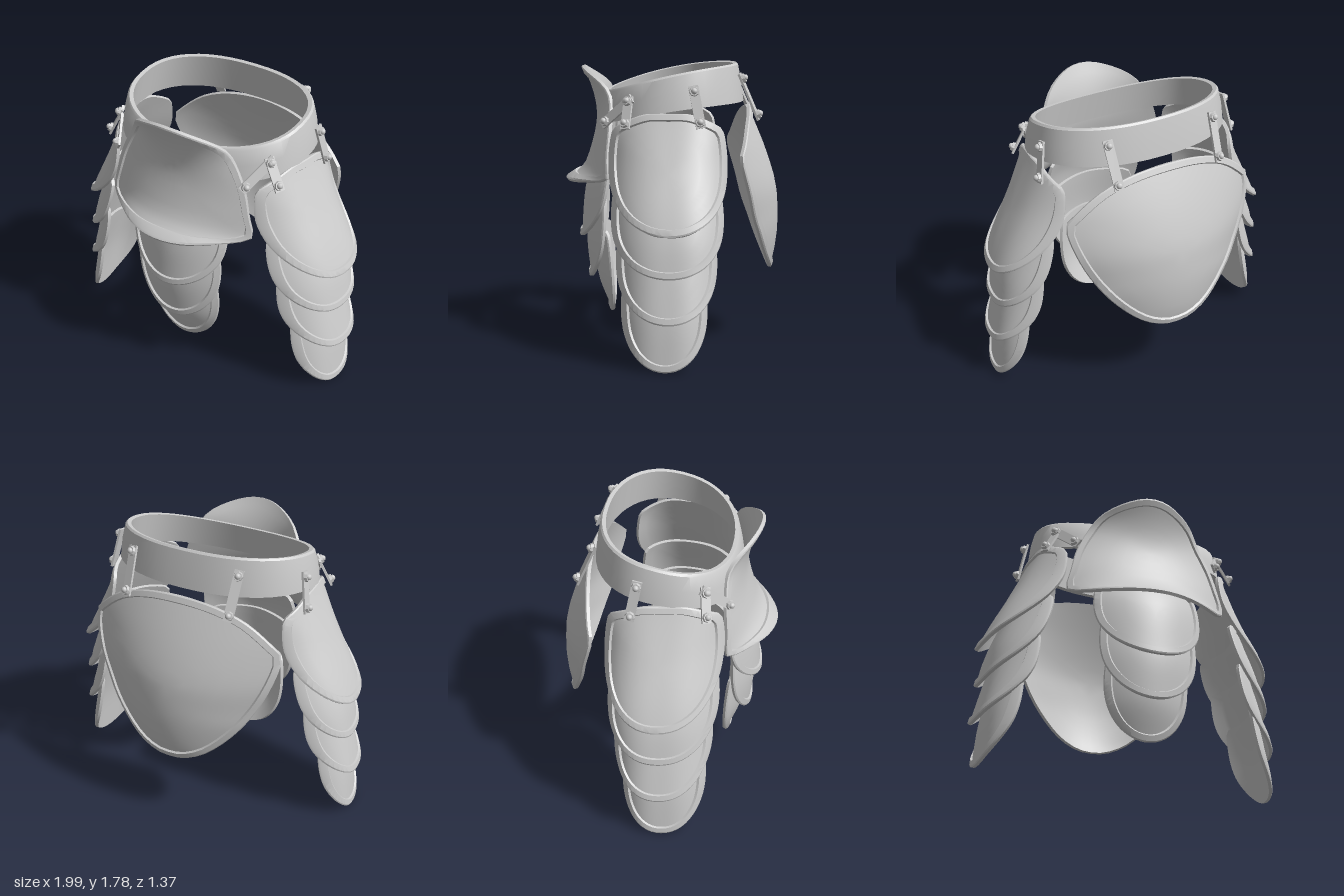
import * as THREE from 'three';
import { toCreasedNormals } from 'three/addons/utils/BufferGeometryUtils.js';

const material = new THREE.MeshStandardMaterial({ color: 0xcccccc, side: THREE.DoubleSide });
const V = (x, y, z) => new THREE.Vector3(x, y, z);
const UP = V(0, 1, 0);

// Skin a list of equal-length closed rings; closed = join the last ring to the first
function skin(rings, closed = false, crease = 0.5) {
  const n = rings[0].length, pos = [];
  const tri = (a, b, c) => {
    if (a.distanceTo(b) < 1e-6 || b.distanceTo(c) < 1e-6 || a.distanceTo(c) < 1e-6) return;
    pos.push(a.x, a.y, a.z, b.x, b.y, b.z, c.x, c.y, c.z);
  };
  const count = closed ? rings.length : rings.length - 1;
  for (let j = 0; j < count; j++) {
    const A = rings[j], B = rings[(j + 1) % rings.length];
    for (let i = 0; i < n; i++) {
      const k = (i + 1) % n;
      tri(A[i], A[k], B[k]);
      tri(A[i], B[k], B[i]);
    }
  }
  const g = new THREE.BufferGeometry();
  g.setAttribute('position', new THREE.Float32BufferAttribute(pos, 3));
  return toCreasedNormals(g, crease);
}

function named(name, geometry) {
  const m = new THREE.Mesh(geometry, material);
  m.name = name;
  return m;
}

// Bowed plate with a raised rim.
// half: half outline [across, y] from top centre to bottom centre
// rows: [y, depth at the middle, drop at the edge], y ascending
function plate(name, out, half, rows, { power = 2, shift = 0, skew = 0 } = {}) {
  const across = UP.clone().cross(out);
  const hw = Math.max(...half.map(p => p[0]));
  const ys = rows.map(r => r[0]);
  const spline = c => {
    const f = new THREE.CubicInterpolant(ys, rows.map(r => r[c]), 1, new Float32Array(1));
    return y => f.evaluate(THREE.MathUtils.clamp(y, ys[0], ys[ys.length - 1] - 1e-5))[0];
  };
  const mid = spline(1), drop = spline(2);
  const depth = (a, y) => mid(y) - drop(y) * Math.pow(Math.abs(a) / hw, power) - skew * a;
  const place = (a, y, lift) => {
    const e = 0.004, d = depth(a, y);
    const n = V(-(depth(a + e, y) - depth(a - e, y)) / (2 * e),
      -(depth(a, y + e) - depth(a, y - e)) / (2 * e), 1).normalize().multiplyScalar(lift);
    return across.clone().multiplyScalar(a + n.x + shift)
      .addScaledVector(UP, y + n.y).addScaledVector(out, d + n.z);
  };

  const mirrored = half.slice(1, -1).reverse().map(([a, y]) => [-a, y]);
  const loop = [...half, ...mirrored].map(([a, y]) => V(a, y, 0));
  const outline = new THREE.CatmullRomCurve3(loop, true).getSpacedPoints(56).slice(0, -1);
  const cy = (half[0][1] + half[half.length - 1][1]) / 2;
  const ring = (scale, inset, lift) => outline.map(p => {
    const r = Math.hypot(p.x, p.y - cy), s = scale * (1 - inset / r);
    return place(p.x * s, cy + (p.y - cy) * s, lift);
  });
  const back = -0.012, rim = 0.013, steps = [0, 0.2, 0.4, 0.6, 0.8, 0.93];
  return named(name, skin([
    ...steps.map(s => ring(s, 0.045, back)), ring(1, 0.045, back), ring(1, 0, back),
    ring(1, 0, rim * 0.6), ring(1, 0.008, rim), ring(1, 0.04, rim), ring(1, 0.045, 0),
    ...steps.slice().reverse().map(s => ring(s, 0.045, 0)),
  ].reverse().map(r => r.slice().reverse())));
}

// Leaf outline: nearly flat head, straight flanks, rounded tip
function leaf(top, bottom, hw, arch, p) {
  const h = top - bottom, pts = [[0, top], [hw * 0.4, top - 0.01 * h]];
  pts.push([hw * 0.88, top - arch * h], [hw * 0.93, top - (arch + 0.03) * h], [hw, top - 0.38 * h]);
  for (const s of [0.3, 0.5, 0.68, 0.83, 0.94, 0.985])
    pts.push([hw * Math.sqrt(1 - s ** p), top - (0.4 + 0.6 * s) * h]);
  pts.push([0, bottom]);
  return pts;
}

// Flat strap from a to b facing out, with a hexagonal washer and dome rivet at each end
function strap(name, a, b, out) {
  const g = new THREE.Group();
  g.name = name;
  const y = b.clone().sub(a), len = y.length();
  y.normalize();
  const z = out.clone().addScaledVector(y, -out.dot(y)).normalize();
  g.applyMatrix4(new THREE.Matrix4().makeBasis(y.clone().cross(z), y, z));
  g.position.copy(a).add(b).multiplyScalar(0.5).addScaledVector(z, 0.012);
  g.add(named('strapBand', new THREE.BoxGeometry(0.06, len + 0.07, 0.014)));
  for (const end of [-1, 1]) {
    const washer = named('rivetWasher', toCreasedNormals(
      new THREE.CylinderGeometry(0.027, 0.031, 0.02, 8).rotateX(Math.PI / 2), 0.5));
    const dome = named('rivetDome', new THREE.SphereGeometry(0.019, 10, 6));
    washer.position.set(0, end * len / 2, 0.014);
    dome.position.set(0, end * len / 2, 0.024);
    g.add(washer, dome);
  }
  return g;
}

// Tilted oval waistband, flaring toward its lower edge
function belt() {
  const ring = (rx, rz, height) => Array.from({ length: 48 }, (_, i) => {
    const t = i / 48 * Math.PI * 2, c = Math.cos(t), s = Math.sin(t), e = 0.88;
    const x = Math.sign(c) * Math.abs(c) ** e * rx, z = Math.sign(s) * Math.abs(s) ** e * rz;
    return V(x, height(z), z);
  });
  const top = z => 1.72 - 0.21 * z - 0.18 * z * z;
  const low = z => 1.505 - 0.15 * z - 0.17 * z * z;
  return named('waistBelt', skin([
    ring(0.648, 0.455, low), ring(0.635, 0.44, z => (top(z) + low(z)) / 2),
    ring(0.612, 0.42, z => top(z) - 0.012), ring(0.6, 0.41, top),
    ring(0.575, 0.388, z => top(z) - 0.006), ring(0.612, 0.422, low),
  ].map(r => r.reverse()), true));
}

export function createModel() {
  const model = new THREE.Group();
  model.name = 'waistArmor';
  model.add(belt());

  // Front plate: curls forward at the top and bottom
  const front = V(0, 0, 1), rear = V(0, 0, -1);
  model.add(plate('frontPlate', front,
    [[0, 1.755], [0.13, 1.735], [0.31, 1.65], [0.39, 1.53], [0.46, 1.38], [0.5, 1.22],
      [0.525, 1.1], [0.505, 1.075], [0.3, 1.045], [0, 1.035]],
    [[1.03, 0.685, 0.29], [1.1, 0.585, 0.19], [1.24, 0.52, 0.14], [1.45, 0.48, 0.15],
      [1.6, 0.505, 0.25], [1.76, 0.57, 0.27]]));

  // Front lames, upper over lower
  const frontLames = [
    [leaf(1.2, 0.66, 0.35, 0.04, 2), [[0.66, 0.585, 0.14], [1.03, 0.545, 0.14], [1.2, 0.475, 0.12]]],
    [leaf(0.98, 0.39, 0.315, 0.04, 2), [[0.39, 0.525, 0.12], [0.67, 0.55, 0.12], [0.98, 0.515, 0.11]]],
    [leaf(0.74, 0.16, 0.27, 0.04, 2), [[0.16, 0.385, 0.11], [0.39, 0.475, 0.11], [0.74, 0.505, 0.11]]],
  ];
  frontLames.forEach(([half, rows], i) => model.add(plate('frontLame' + (i + 1), front, half, rows)));

  // Broad rear plate
  model.add(plate('rearPlate', rear,
    [[0, 1.5], [0.25, 1.475], [0.45, 1.4], [0.62, 1.26], [0.65, 1.22], [0.6, 1.0],
      [0.45, 0.73], [0.25, 0.53], [0.1, 0.46], [0, 0.45]],
    [[0.45, 0.635, 0.38], [0.54, 0.66, 0.38], [0.73, 0.685, 0.32], [0.82, 0.685, 0.3],
      [1.0, 0.67, 0.25], [1.23, 0.6, 0.2], [1.4, 0.53, 0.17], [1.5, 0.485, 0.15]]));

  // Side lames: outline, depth rows, centre z
  const sideLames = [
    [leaf(1.49, 0.8, 0.35, 0.12, 2.8),
      [[0.8, 0.96, 0.2], [0.94, 0.9, 0.2], [1.21, 0.765, 0.19], [1.42, 0.665, 0.15], [1.49, 0.635, 0.15]], 0.035],
    [leaf(1.1, 0.55, 0.33, 0.05, 2.6), [[0.55, 0.95, 0.19], [0.76, 0.9, 0.19], [1.1, 0.765, 0.19]], 0.04],
    [leaf(0.85, 0.285, 0.295, 0.05, 2.5), [[0.285, 0.982, 0.18], [0.54, 0.915, 0.18], [0.85, 0.82, 0.17]], 0.045],
    [leaf(0.58, 0, 0.25, 0.05, 2.3), [[0, 0.957, 0.12], [0.3, 0.925, 0.12], [0.58, 0.865, 0.12]], 0.06],
  ];
  for (const [label, m] of [['left', 1], ['right', -1]]) {
    const out = V(m, 0, 0);
    sideLames.forEach(([half, rows, zc], i) => model.add(plate(label + 'SideLame' + (i + 1), out, half, rows,
      { power: 3, shift: -m * zc, skew: -m * 0.12 })));

    // Straps joining the plates to the belt
    model.add(
      strap(label + 'RearStrap', V(0.36 * m, 1.68, -0.41), V(0.35 * m, 1.46, -0.505), V(0.3 * m, 0.4, -1)),
      strap(label + 'SideStrap', V(0.637 * m, 1.62, -0.12), V(0.67 * m, 1.44, -0.155), V(m, 0.2, 0)),
      strap(label + 'FrontStrap', V(0.545 * m, 1.555, 0.265), V(0.465 * m, 1.43, 0.4), V(0.75 * m, 0.2, 0.65)),
      strap(label + 'FrontSideStrap', V(0.55 * m, 1.55, 0.265), V(0.615 * m, 1.425, 0.28), V(0.8 * m, 0.3, 0.5)));
  }
  return model;
}
